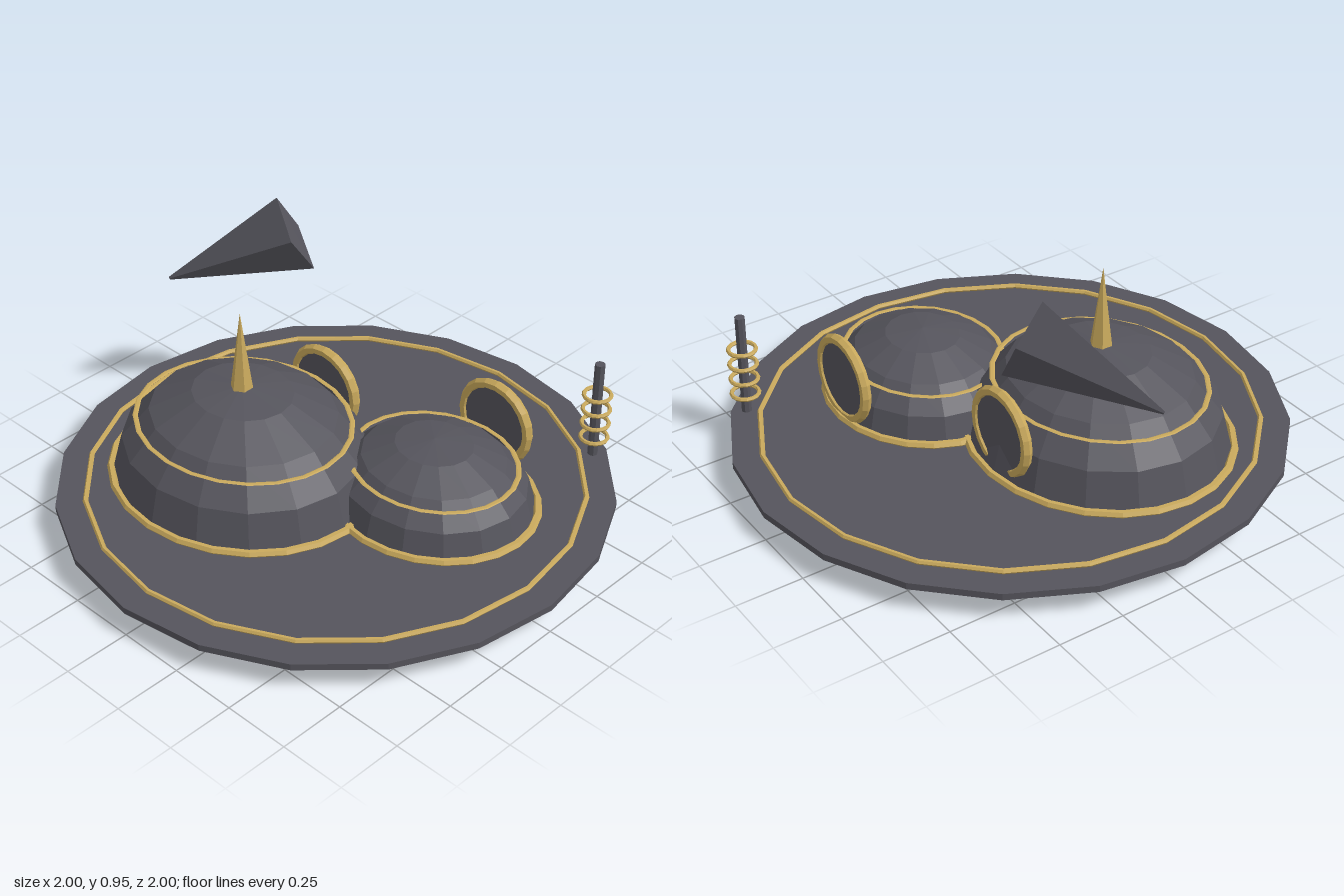
import * as THREE from 'three';
import { ConvexGeometry } from 'three/addons/geometries/ConvexGeometry.js';

export function createModel() {
  const group = new THREE.Group();
  const slate = new THREE.MeshStandardMaterial({ color: 0x55545c, flatShading: true });
  slate.name = 'slate';
  const gold = new THREE.MeshStandardMaterial({ color: 0xc9a95c, flatShading: true });
  gold.name = 'gold';

  const add = (name, geometry, material, x = 0, y = 0, z = 0) => {
    const mesh = new THREE.Mesh(geometry, material);
    mesh.name = name;
    mesh.position.set(x, y, z);
    group.add(mesh);
    return mesh;
  };
  // horizontal ring lying in the xz plane
  const ring = (radius, tube, sides, segments, depth = 1, flatten = 1) =>
    new THREE.TorusGeometry(radius, tube, sides, segments).rotateX(Math.PI / 2).scale(1, flatten, depth);

  // base plate with rim trim
  add('basePlate', new THREE.CylinderGeometry(1, 1, 0.025, 20), slate, 0, 0.1075, 0);
  add('plateTrim', ring(0.894, 0.01, 6, 20), gold, 0, 0.127, 0);

  // two faceted domes, slightly narrower in depth, each with trim and a round rear hatch
  const domes = [
    { name: 'largeDome', x: -0.26, z: 0.2, r: 0.5, h: 0.375, trimR: 0.409, trimY: 0.35, hatchZ: -0.213 },
    { name: 'smallDome', x: 0.328, z: -0.153, r: 0.38, h: 0.257, trimR: 0.313, trimY: 0.28, hatchZ: -0.484 },
  ];
  for (const d of domes) {
    const shell = new THREE.SphereGeometry(1, 16, 4, 0, Math.PI * 2, 0, Math.PI / 2).scale(d.r, d.h, d.r * 0.9);
    add(d.name, shell, slate, d.x, 0.12, d.z);
    add(d.name + 'BaseTrim', ring(d.r + 0.008, 0.016, 6, 24, 0.9), gold, d.x, 0.125, d.z);
    add(d.name + 'UpperTrim', ring(d.trimR, 0.01, 6, 24, 0.88, 0.2), gold, d.x, d.trimY, d.z);
    add(d.name + 'HatchFrame', new THREE.TorusGeometry(0.148, 0.02, 6, 20), gold, d.x, 0.284, d.hatchZ);
    add(d.name + 'Hatch', new THREE.CylinderGeometry(0.148, 0.148, 0.02, 20).rotateX(Math.PI / 2),
      slate, d.x, 0.284, d.hatchZ);
  }

  // spire on the large dome
  add('spire', new THREE.ConeGeometry(0.042, 0.31, 6), gold, -0.26, 0.635, 0.203);

  // antenna with four rings
  add('antennaMast', new THREE.CylinderGeometry(0.019, 0.019, 0.39, 8), slate, 0.568, 0.315, -0.754);
  for (let i = 0; i < 4; i++) {
    add('antennaRing', ring(0.049, 0.008, 6, 16), gold, 0.568, 0.195 + i * 0.061, -0.754);
  }

  // slanted shards: a four-cornered base drawn out to a tiny blunt tip
  const shard = (name, tip, corners) => {
    const base = corners.map((c) => new THREE.Vector3(...c));
    const centre = new THREE.Vector3();
    base.forEach((p) => centre.addScaledVector(p, 0.25));
    const end = base.map((p) => p.clone().sub(centre).multiplyScalar(0.04).add(new THREE.Vector3(...tip)));
    add(name, new ConvexGeometry([...base, ...end]), slate);
  };
  shard('floatingShard', [-0.84, 0.597, 0.015],
    [[-0.537, 0.95, -0.247], [-0.455, 0.803, -0.237], [-0.44, 0.656, -0.337], [-0.523, 0.803, -0.34]]);
  shard('undersideShard', [-0.288, 0.013, 0.108],
    [[-0.04, 0.19, -0.11], [0.024, 0.1, -0.09], [0.024, 0.003, -0.177], [-0.04, 0.1, -0.177]]);

  return group;
}
